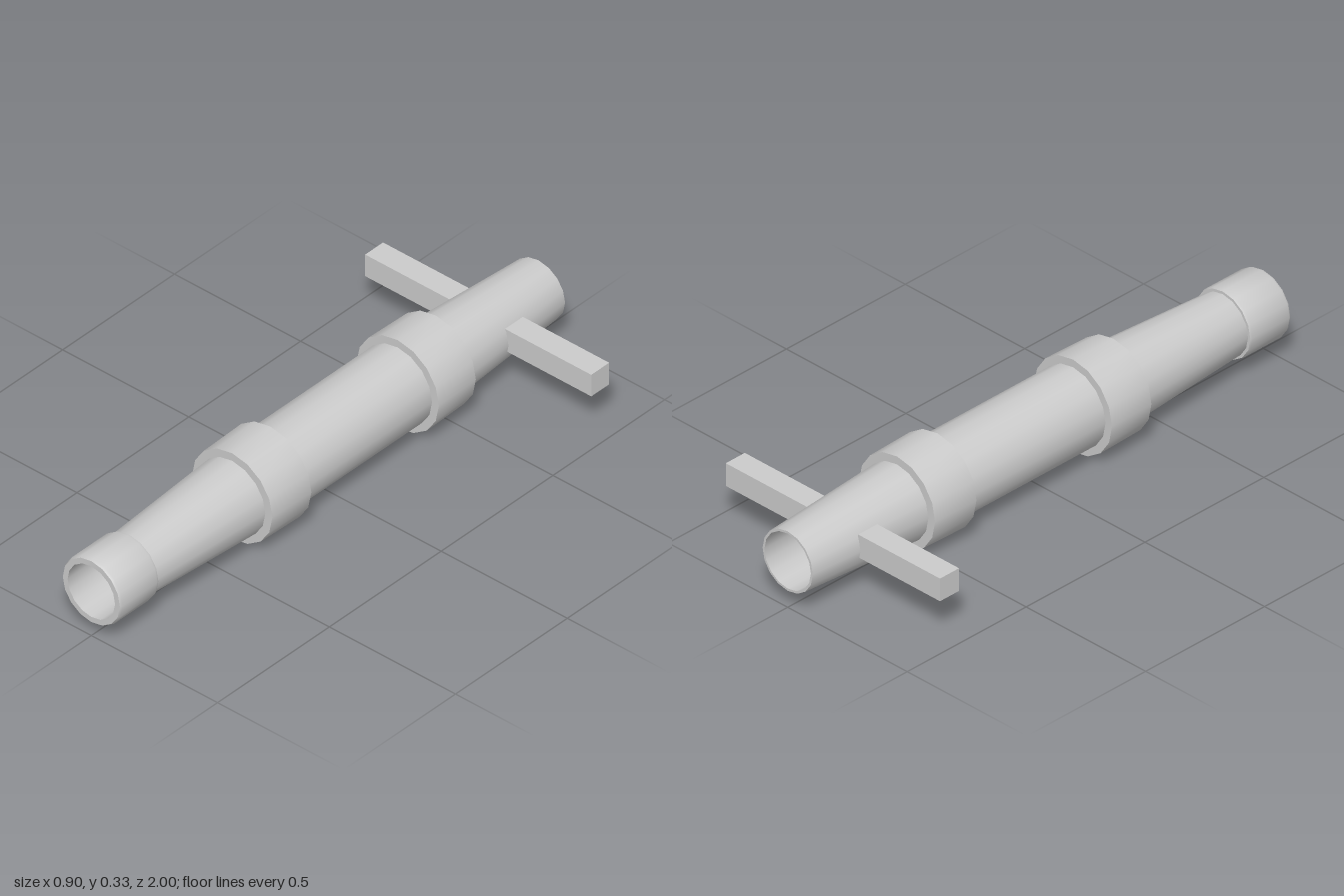
import * as THREE from 'three';
import { toCreasedNormals } from 'three/addons/utils/BufferGeometryUtils.js';

const AXIS_Y = 0.165;
const SIDES = 16;

export function createModel() {
  const model = new THREE.Group();
  const material = new THREE.MeshStandardMaterial({ color: 0xcccccc });

  function add(name, geometry, x, y, z) {
    const mesh = new THREE.Mesh(geometry, material);
    mesh.name = name;
    mesh.position.set(x, y, z);
    model.add(mesh);
  }

  // Hollow part around the z axis; the profile is [radius, z], outside forward then inside back
  function turned(name, profile) {
    const points = [...profile, profile[0]].map(([r, z]) => new THREE.Vector2(r, z));
    const geometry = new THREE.LatheGeometry(points, SIDES).rotateX(Math.PI / 2);
    add(name, toCreasedNormals(geometry, 0.6), 0, AXIS_Y, 0);
  }

  // Straight middle and the tapered ends, sharing one bore
  turned('middleTube', [[0.136, -0.4], [0.136, 0.3], [0.1, 0.3], [0.1, -0.4]]);
  turned('frontTaper', [[0.134, 0.28], [0.131, 0.37], [0.105, 0.84], [0.083, 0.84], [0.1, 0.28]]);
  turned('backTaper', [[0.105, -1], [0.131, -0.54], [0.135, -0.38], [0.1, -0.38], [0.097, -1]]);

  // Collars, slightly narrower toward the ends
  turned('frontCollar', [[0.163, 0.2], [0.159, 0.37], [0.128, 0.37], [0.128, 0.2]]);
  turned('backCollar', [[0.159, -0.54], [0.163, -0.37], [0.128, -0.37], [0.128, -0.54]]);

  // Front cap with a stepped bore
  turned('frontCap', [[0.115, 0.83], [0.117, 0.838], [0.117, 0.992], [0.113, 1],
    [0.094, 1], [0.094, 0.835], [0.083, 0.835], [0.083, 0.83]]);

  // Cross bars, one on each side, stopping inside the tube wall
  for (const [name, side] of [['leftBar', 1], ['rightBar', -1]]) {
    add(name, new THREE.BoxGeometry(0.342, 0.08, 0.08), side * 0.277, 0.18, -0.77);
  }

  return model;
}
